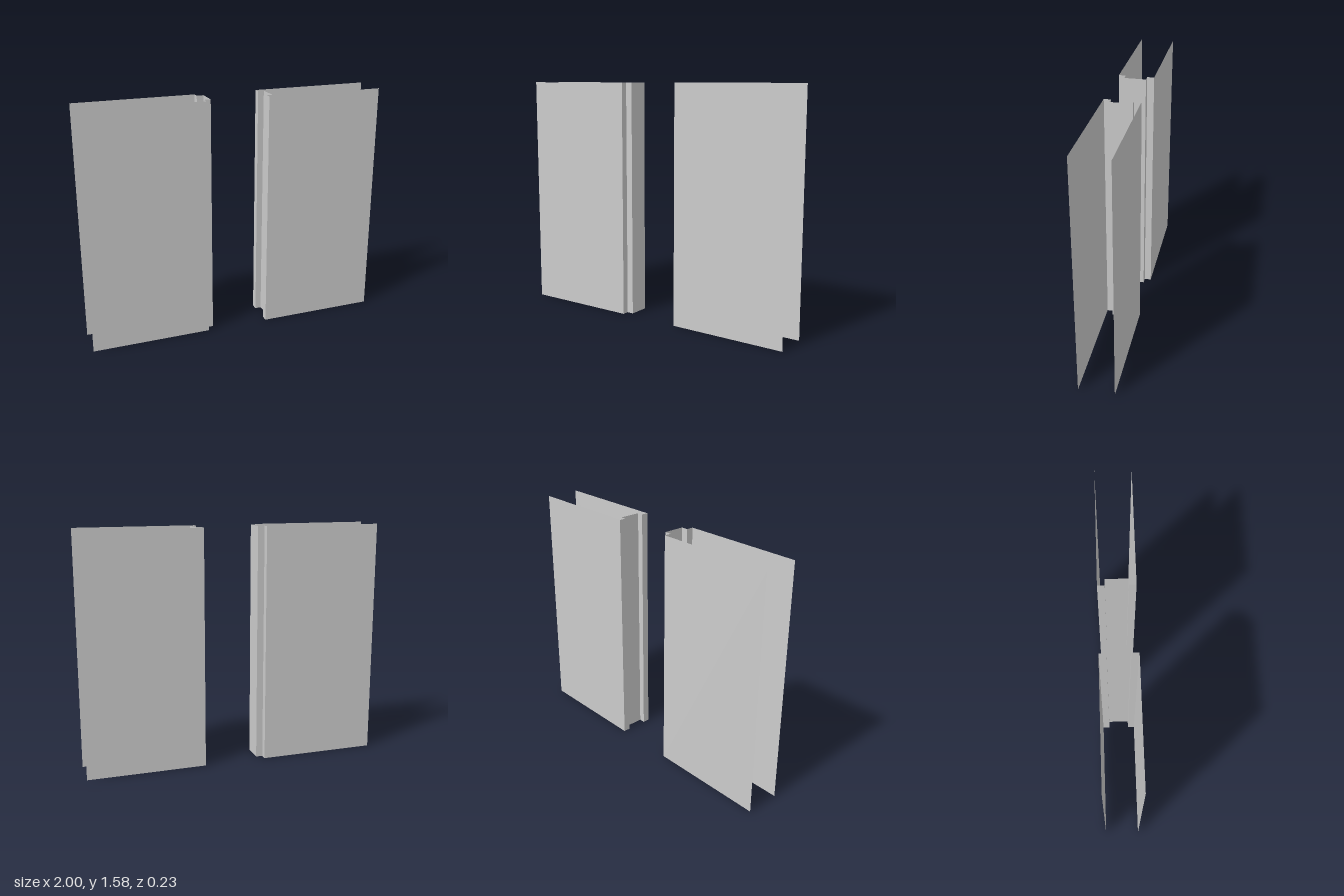
import * as THREE from 'three';
import { mergeGeometries } from 'three/addons/utils/BufferGeometryUtils.js';

const HEIGHT = 1.58;
const FACE_Z = 0.115;   // outer skins
const JOINT_Z = 0.07;   // half width of the tongue and groove
const EDGE_X = 0.21;    // inner edge of the skins

const material = new THREE.MeshStandardMaterial({ color: 0xcccccc, side: THREE.DoubleSide });

// Upright sheet folded along a plan path of [x, z] points, outside on the right of travel
function foldedSheet(name, path) {
  const strips = path.slice(1).map(([bx, bz], i) => {
    const [ax, az] = path[i];
    const dx = bx - ax, dz = bz - az;
    return new THREE.PlaneGeometry(Math.hypot(dx, dz), HEIGHT)
      .rotateY(Math.atan2(-dz, dx))
      .translate((ax + bx) / 2, HEIGHT / 2, (az + bz) / 2);
  });
  const mesh = new THREE.Mesh(mergeGeometries(strips), material);
  mesh.name = name;
  return mesh;
}

// Panel plan: skin, return, joint wall, then the same mirrored in z
function panelPath(outerX, edgeX, jointX) {
  const half = [[outerX, FACE_Z], [edgeX, FACE_Z], [edgeX, JOINT_Z], [jointX, JOINT_Z]];
  return [...half, ...half.map(([x, z]) => [x, -z]).reverse()];
}

export function createModel() {
  const group = new THREE.Group();
  group.name = 'tongueAndGroovePanels';
  // Panel with a projecting tongue
  group.add(foldedSheet('tonguePanel', panelPath(-1, -EDGE_X, -0.165)));
  // Panel with the matching groove, travelled the other way so it faces outward
  group.add(foldedSheet('groovePanel', panelPath(1, EDGE_X, EDGE_X + 0.04).reverse()));
  return group;
}
